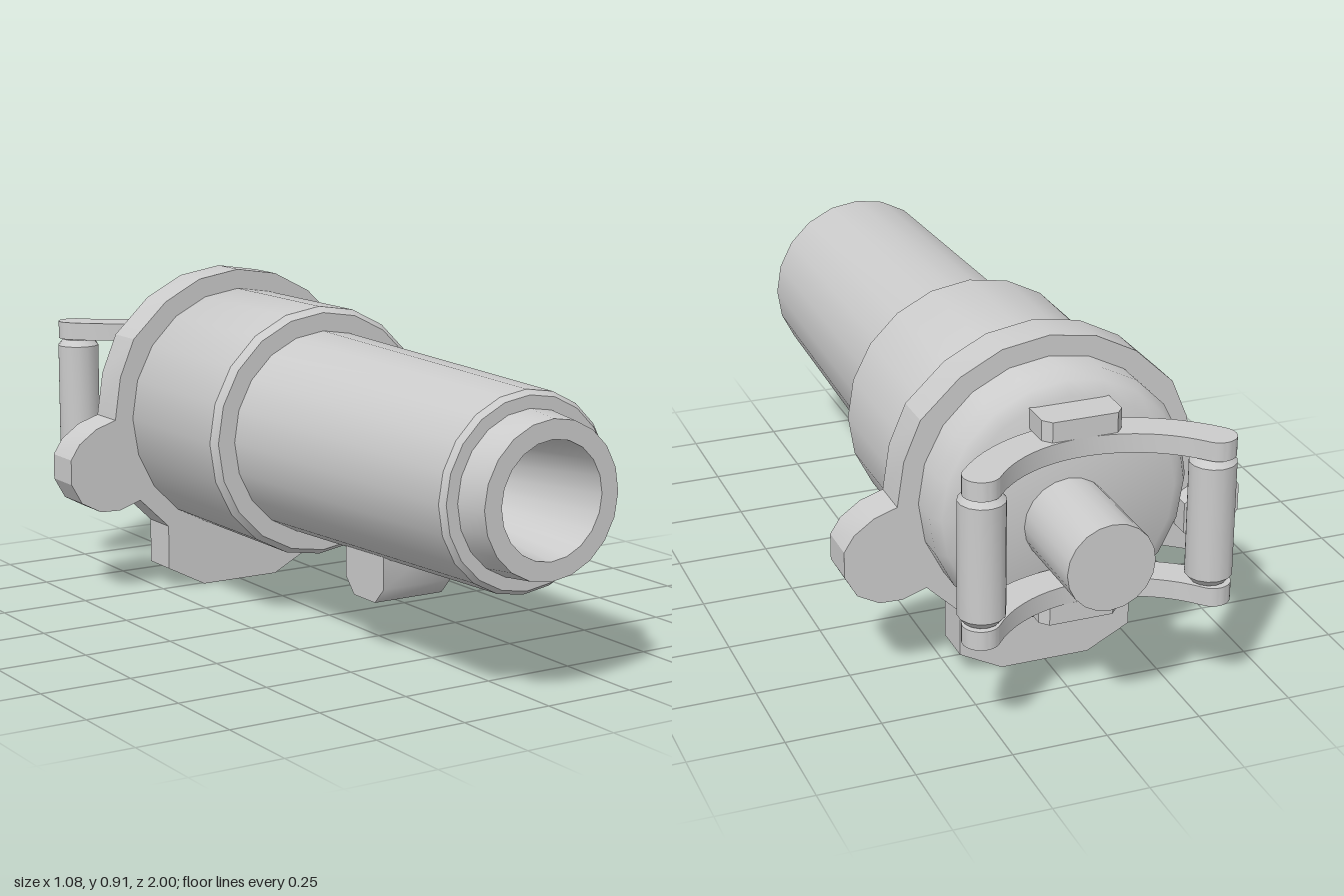
import * as THREE from 'three';
import { toCreasedNormals } from 'three/addons/utils/BufferGeometryUtils.js';

const AXIS_Y = 0.51;
const material = new THREE.MeshStandardMaterial({ color: 0xcccccc });

function add(parent, name, geometry, x = 0, y = 0, z = 0, crease = 0.6) {
  const mesh = new THREE.Mesh(toCreasedNormals(geometry, crease), material);
  mesh.name = name;
  mesh.position.set(x, y, z);
  parent.add(mesh);
  return mesh;
}

const outline = (pts) => new THREE.Shape(pts.map(([x, y]) => new THREE.Vector2(x, y)));
const extrude = (shape, depth) =>
  new THREE.ExtrudeGeometry(shape, { depth, bevelEnabled: false, curveSegments: 10 });

// Plate drawn in x/z, lying flat with its top at y = 0
const flatPlate = (shape, depth) => extrude(shape, depth).rotateX(Math.PI / 2);

// Curved handle arm with rounded ends
function armShape() {
  const R = 0.393, half = 0.047, cz = -1.173, spread = 0.89;
  const a = Math.PI / 2 - spread, b = Math.PI / 2 + spread;
  const s = new THREE.Shape();
  s.absarc(0, cz, R + half, a, b, false);
  s.absarc(R * Math.cos(b), cz + R * Math.sin(b), half, b, b + Math.PI, false);
  s.absarc(0, cz, R - half, b, a, true);
  s.absarc(R * Math.cos(a), cz + R * Math.sin(a), half, a + Math.PI, a + 2 * Math.PI, false);
  return s;
}

export function createModel() {
  const model = new THREE.Group();
  model.name = 'plugConnector';

  // Turned body: housing, tapered sleeve, nose and blind bore
  const profile = [
    [0, -0.73], [0.29, -0.73], [0.325, -0.71], [0.345, -0.675], [0.345, -0.05],
    [0.33, -0.03], [0.28, -0.03], [0.255, 0.89], [0.243, 0.905], [0.21, 0.905],
    [0.2, 1], [0.15, 1], [0.105, 0.5], [0, 0.5],
  ].map(([r, z]) => new THREE.Vector2(r, z));
  add(model, 'body', new THREE.LatheGeometry(profile, 20).rotateX(Math.PI / 2), 0, AXIS_Y, 0);

  // Mounting flange: round top, two side ears and a square foot
  const half = [
    [0.12, 0], [0.235, 0.06], [0.235, 0.185], [0.325, 0.272], [0.39, 0.25], [0.45, 0.252],
    [0.508, 0.283], [0.54, 0.34], [0.54, 0.41], [0.513, 0.452], [0.46, 0.49], [0.4, 0.51],
    [0.382, 0.63], [0.338, 0.735], [0.235, 0.833], [0.125, 0.89],
  ];
  const mirrored = half.map(([x, y]) => [-x, y]).reverse();
  add(model, 'flange', extrude(outline([...half, [0, 0.91], ...mirrored]), 0.11), 0, 0, -0.6, 0.4);

  // Bolt head on the right ear
  add(model, 'boltHead', new THREE.CylinderGeometry(0.083, 0.083, 0.07, 6).rotateX(Math.PI / 2),
    -0.43, 0.37, -0.62);

  // Guide lug under the sleeve
  const lug = outline([
    [-0.09, 0.3], [-0.09, 0.18], [-0.05, 0.137], [0.05, 0.137], [0.09, 0.18], [0.09, 0.3],
  ]);
  add(model, 'guideLug', extrude(lug, 0.21).translate(0, 0, -0.105).rotateY(Math.PI / 2),
    0, 0, 0.34, 0.9);

  // Rear shaft
  add(model, 'rearShaft', new THREE.CylinderGeometry(0.115, 0.115, 0.3, 20).rotateX(Math.PI / 2),
    0, 0.465, -0.85);

  // Handle: two curved arms, their mounting tabs and two upright grips
  const handle = new THREE.Group();
  handle.name = 'handle';
  model.add(handle);
  const tab = outline([
    [-0.105, -0.7], [-0.105, -0.805], [-0.085, -0.828], [0.085, -0.828], [0.105, -0.805], [0.105, -0.7],
  ]);
  for (const [label, armTop, tabTop] of [['upper', 0.732, 0.785], ['lower', 0.338, 0.288]]) {
    add(handle, label + 'Arm', flatPlate(armShape(), 0.05), 0, armTop, 0);
    add(handle, label + 'Tab', flatPlate(tab, 0.053), 0, tabTop, 0);
  }
  const gripProfile = [[0, -0.17], [0.045, -0.17], [0.06, -0.152], [0.06, 0.152], [0.045, 0.17], [0, 0.17]]
    .map(([r, y]) => new THREE.Vector2(r, y));
  for (const side of [-1, 1]) {
    add(handle, side > 0 ? 'leftGrip' : 'rightGrip',
      new THREE.LatheGeometry(gripProfile, 14), side * 0.3, 0.51, -0.915);
  }
  return model;
}
